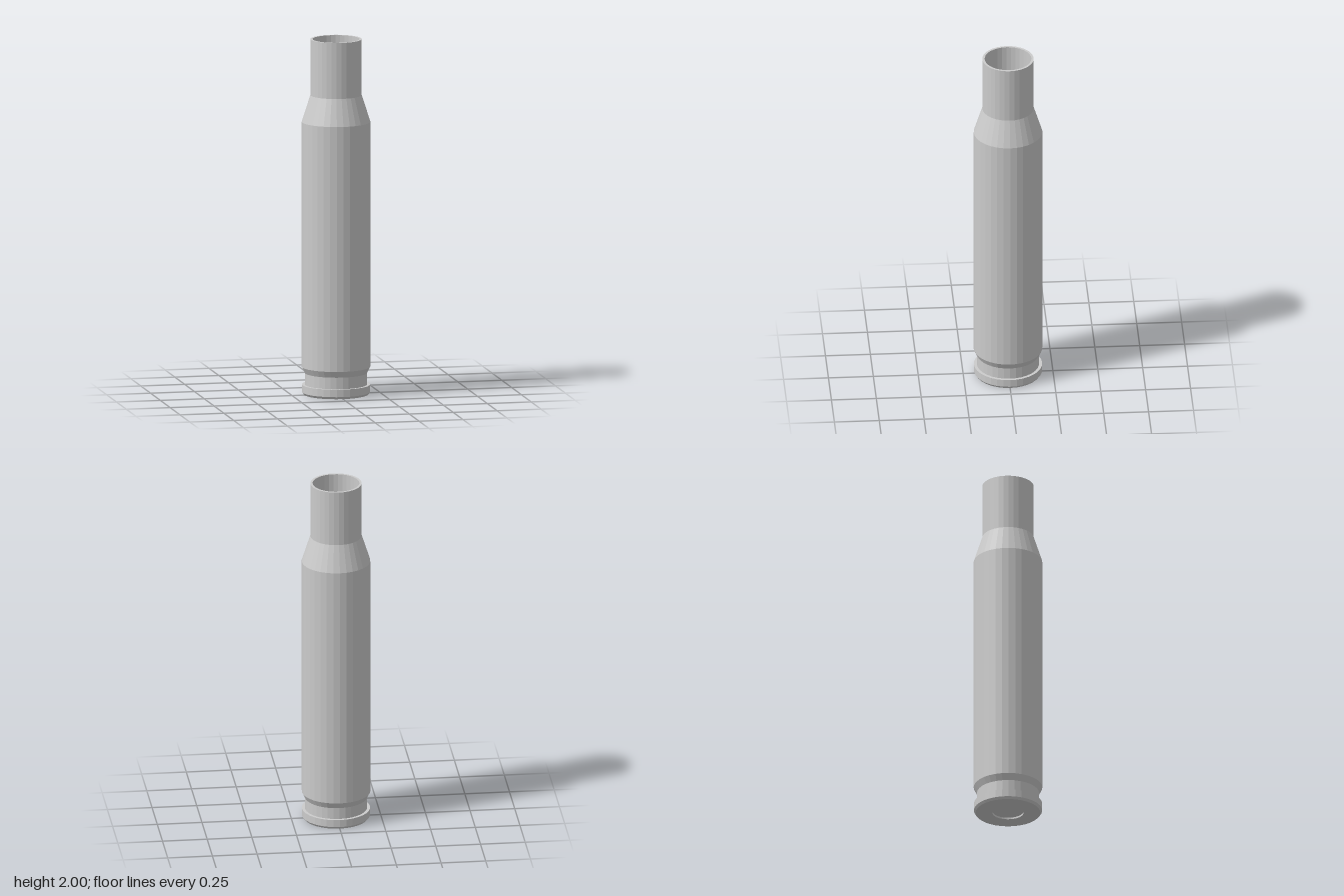
import * as THREE from 'three';

const SIDES = 32;

// Faceted turned part from [radius, height] pairs, outer profile listed bottom to top
function turned(name, profile, material) {
  const points = profile.map(([r, y]) => new THREE.Vector2(r, y));
  const mesh = new THREE.Mesh(new THREE.LatheGeometry(points, SIDES), material);
  mesh.name = name;
  return mesh;
}

export function createModel() {
  const group = new THREE.Group();
  group.name = 'cartridgeCase';
  const metal = new THREE.MeshStandardMaterial({ color: 0xcccccc, flatShading: true });

  // Recessed disc in the middle of the base
  group.add(turned('primer', [[0, 0.01], [0.087, 0.01]], metal));

  // Base with chamfered rim and extraction groove
  group.add(turned('rim', [
    [0.087, 0.01], [0.087, 0], [0.18, 0], [0.19, 0.013],
    [0.19, 0.055], [0.173, 0.055], [0.173, 0.12], [0.191, 0.155],
  ], metal));

  // Body, shoulder and neck, ending in the mouth lip
  group.add(turned('body', [
    [0.191, 0.155], [0.191, 1.535], [0.143, 1.685], [0.143, 2], [0.13, 2],
  ], metal));

  // Hollow inside following the outer wall down to a flat floor
  group.add(turned('cavity', [
    [0.13, 2], [0.13, 1.68], [0.178, 1.53], [0.178, 0.16], [0, 0.16],
  ], metal));

  return group;
}
